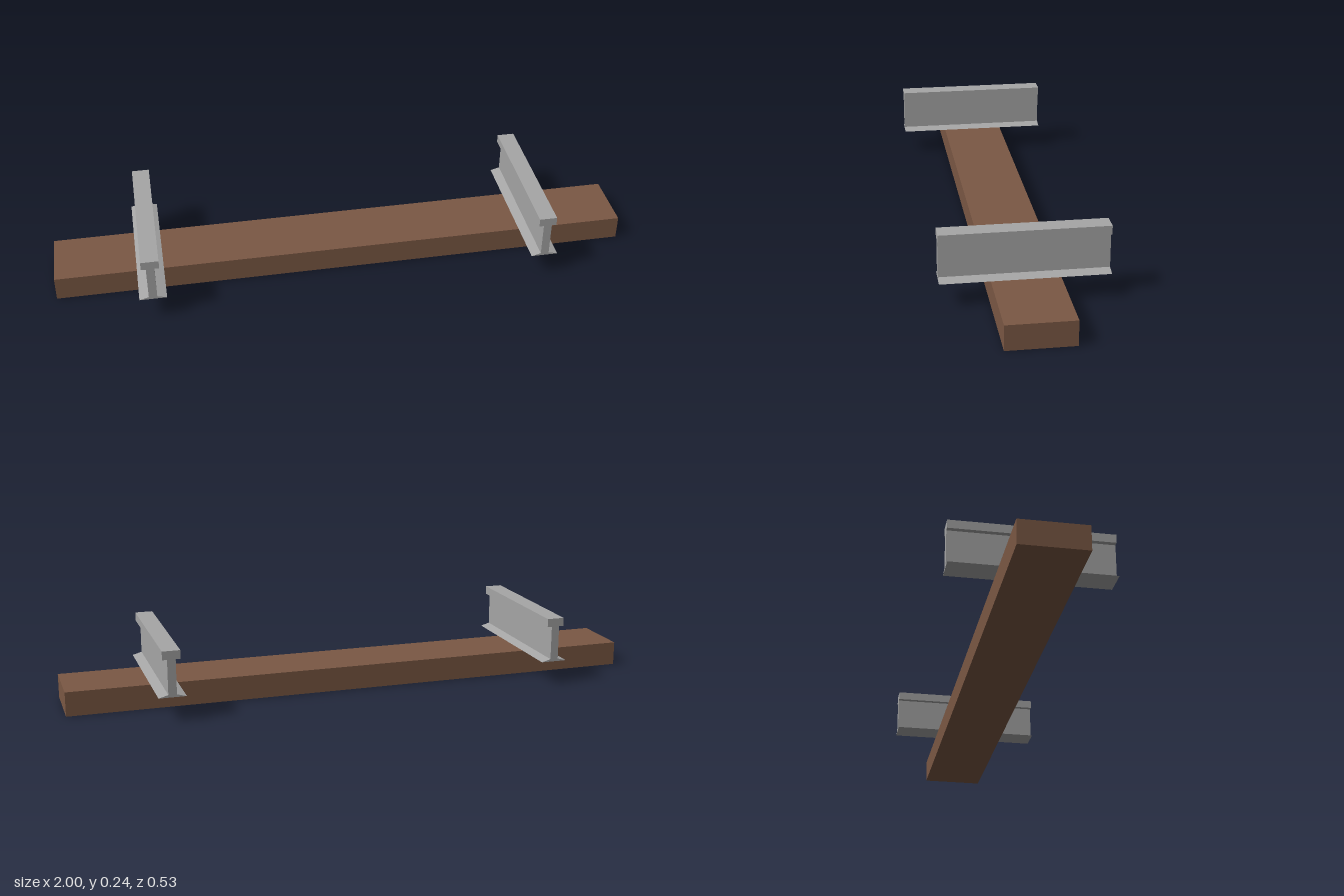
import * as THREE from 'three';

const wood = new THREE.MeshStandardMaterial({ color: 0x7b5844 });
wood.name = 'brown wood';
const steel = new THREE.MeshStandardMaterial({ color: 0xa6a6a6 });
steel.name = 'grey steel';

const SLEEPER = { length: 2, height: 0.083, depth: 0.218 };
const RAIL_LENGTH = 0.534;
const RAIL_X = 0.675;

// Right half of the rail section, from the foot up to the head
const HALF_SECTION = [
  [0.046, 0], [0.014, 0.009], [0.014, 0.126], [0.03, 0.126], [0.03, 0.155],
];

function railGeometry() {
  const mirrored = HALF_SECTION.map(([x, y]) => [-x, y]).reverse();
  const outline = [...HALF_SECTION, ...mirrored].map(([x, y]) => new THREE.Vector2(x, y));
  const geometry = new THREE.ExtrudeGeometry(new THREE.Shape(outline), {
    depth: RAIL_LENGTH, bevelEnabled: false,
  });
  return geometry.translate(0, 0, -RAIL_LENGTH / 2);
}

export function createModel() {
  const model = new THREE.Group();
  model.name = 'trackSection';

  // Wooden beam lying across the track
  const sleeper = new THREE.Mesh(
    new THREE.BoxGeometry(SLEEPER.length, SLEEPER.height, SLEEPER.depth), wood);
  sleeper.name = 'sleeper';
  sleeper.position.y = SLEEPER.height / 2;
  model.add(sleeper);

  // Two steel rails resting on the beam
  const geometry = railGeometry();
  for (const [name, side] of [['leftRail', 1], ['rightRail', -1]]) {
    const rail = new THREE.Mesh(geometry, steel);
    rail.name = name;
    rail.position.set(side * RAIL_X, SLEEPER.height, 0);
    model.add(rail);
  }
  return model;
}
